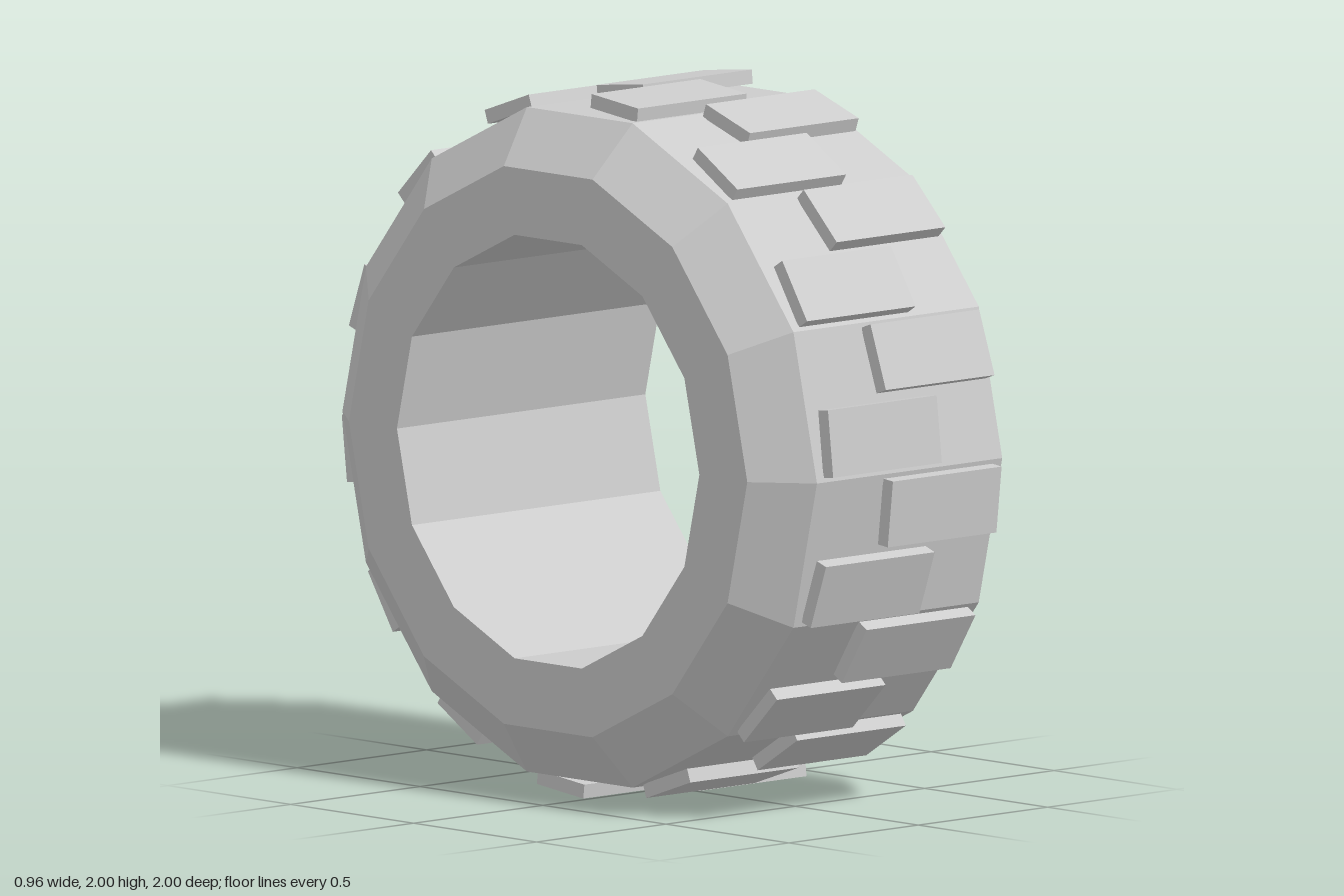
import * as THREE from 'three';

const SIDES = 14;
const BLOCKS = 28;

export function createModel() {
  const model = new THREE.Group();
  model.name = 'tire';
  const rubber = new THREE.MeshStandardMaterial({ color: 0xcccccc, flatShading: true });

  // Tire body: closed profile (radius, axial position) turned around the x axis
  const profile = [
    [0.615, -0.48], [0.81, -0.48], [0.965, -0.358],
    [0.965, 0.358], [0.81, 0.48], [0.615, 0.48], [0.615, -0.48],
  ].map(([r, a]) => new THREE.Vector2(r, a));
  const bodyGeometry = new THREE.LatheGeometry(profile, SIDES).rotateZ(Math.PI / 2);
  const body = new THREE.Mesh(bodyGeometry, rubber);
  body.name = 'tireBody';
  body.position.y = 1;
  model.add(body);

  // Tread blocks: staggered left and right around the circumference
  const tread = new THREE.Group();
  tread.name = 'tread';
  tread.position.y = 1;
  const blockGeometry = new THREE.BoxGeometry(0.42, 0.19, 0.04);
  for (let i = 0; i < BLOCKS; i++) {
    const angle = ((i + 0.5) / BLOCKS) * Math.PI * 2;
    const block = new THREE.Mesh(blockGeometry, rubber);
    block.name = 'treadBlock';
    block.position.set(i % 2 ? 0.113 : -0.118, 0.975 * Math.sin(angle), 0.975 * Math.cos(angle));
    block.rotation.x = -angle;
    tread.add(block);
  }
  model.add(tread);

  return model;
}
